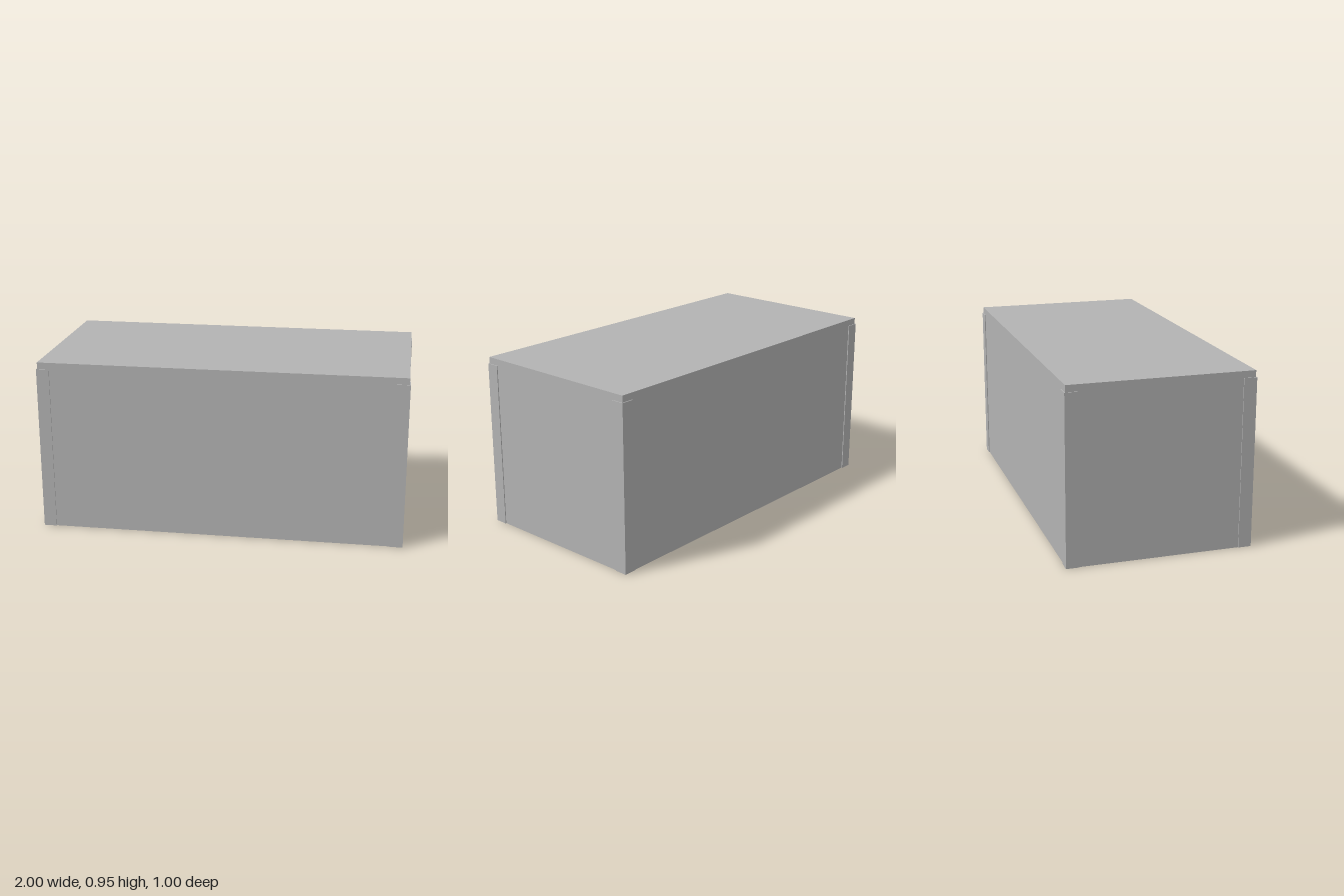
import * as THREE from 'three';

const LID_TOP = 0.948, WALL_TOP = 0.912;  // the lid sits on the walls
const X = 0.995, Z = 0.495;               // half size of the panels
const WALL = 0.036, GUARD = 0.005, LEG = 0.07;

export function createModel() {
  const model = new THREE.Group();
  const grey = new THREE.MeshStandardMaterial({ color: 0xb3b3b3 });
  grey.name = 'panel grey';

  const add = (name, geometry, x, y, z) => {
    const mesh = new THREE.Mesh(geometry, grey);
    mesh.name = name;
    mesh.position.set(x, y, z);
    model.add(mesh);
    return mesh;
  };

  // Lid and four walls, open underneath
  add('lid', new THREE.BoxGeometry(2 * X, LID_TOP - WALL_TOP, 2 * Z), 0, (LID_TOP + WALL_TOP) / 2, 0);
  const longWall = new THREE.BoxGeometry(2 * X, WALL_TOP, WALL);
  const endWall = new THREE.BoxGeometry(WALL, WALL_TOP, 2 * (Z - WALL));
  add('frontWall', longWall, 0, WALL_TOP / 2, Z - WALL / 2);
  add('backWall', longWall, 0, WALL_TOP / 2, -Z + WALL / 2);
  add('leftWall', endWall, X - WALL / 2, WALL_TOP / 2, 0);
  add('rightWall', endWall, -X + WALL / 2, WALL_TOP / 2, 0);

  // Upright angle strip; its outer corner is at the origin, its legs run inward
  const angle = (leg) => {
    const shape = new THREE.Shape([
      [0, 0], [leg, 0], [leg, GUARD], [GUARD, GUARD], [GUARD, leg], [0, leg],
    ].map(([x, y]) => new THREE.Vector2(x, y)));
    return new THREE.ExtrudeGeometry(shape, { depth: WALL_TOP, bevelEnabled: false }).rotateX(-Math.PI / 2);
  };
  const inset = GUARD + WALL;
  const outer = angle(LEG), inner = angle(LEG - inset);

  // Outer and inner corner guards, turned to face each corner
  const corners = [
    ['frontRight', -1, 1, 0], ['frontLeft', 1, 1, Math.PI / 2],
    ['backLeft', 1, -1, Math.PI], ['backRight', -1, -1, -Math.PI / 2],
  ];
  for (const [name, sx, sz, turn] of corners) {
    add(name + 'OuterGuard', outer, sx * (X + GUARD), 0, sz * (Z + GUARD)).rotation.y = turn;
    add(name + 'InnerGuard', inner, sx * (X - WALL), 0, sz * (Z - WALL)).rotation.y = turn;
  }
  return model;
}
